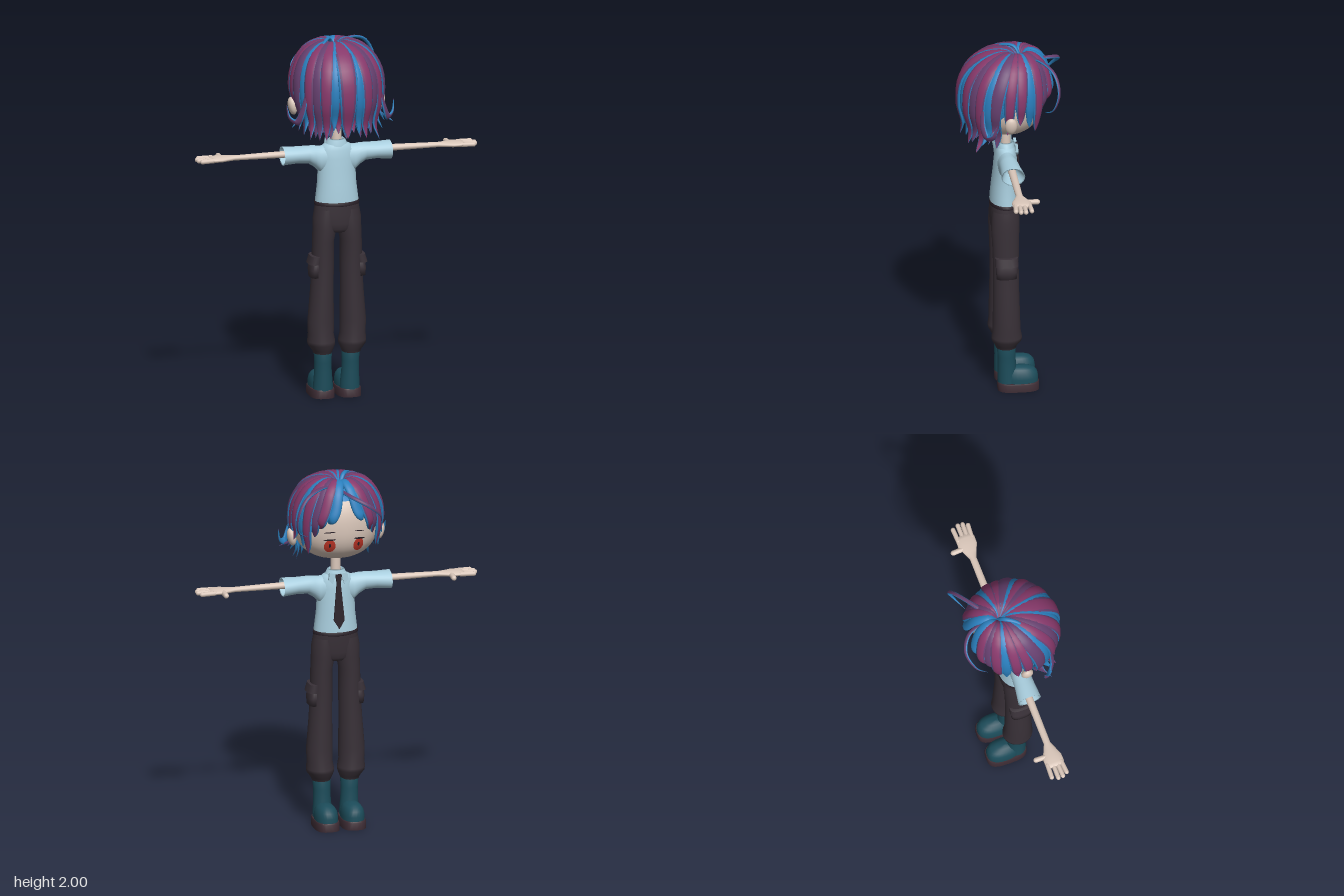
import * as THREE from 'three';
import { toCreasedNormals } from 'three/addons/utils/BufferGeometryUtils.js';

const mat = (name, color) => {
  const m = new THREE.MeshStandardMaterial({ color, side: THREE.DoubleSide });
  m.name = name;
  return m;
};

// Skin of quads over rings of points
function skin(rings, groupOf) {
  const n = rings[0].length, pos = rings.flat().flatMap(p => [p.x, p.y, p.z]);
  const idx = [[], [], []];
  for (let i = 0; i < rings.length - 1; i++) for (let j = 0; j < n; j++) {
    const k = (j + 1) % n, a = i * n + j, b = i * n + k, c = a + n, d = b + n;
    idx[groupOf ? groupOf(j) : 0].push(a, b, c, b, d, c);
  }
  const g = new THREE.BufferGeometry();
  g.setAttribute('position', new THREE.Float32BufferAttribute(pos, 3));
  g.setIndex(idx.flat());
  if (groupOf) idx.reduce((start, list, i) => (g.addGroup(start, list.length, i), start + list.length), 0);
  g.computeVertexNormals();
  return g;
}

// Elliptical sections [y, cx, cz, rx, rz], lowest first; power < 1 squares them off
function loft(rows, power = 1, n = 28) {
  const s = v => Math.sign(v) * Math.abs(v) ** power;
  return skin(rows.map(([y, cx, cz, rx, rz]) => Array.from({ length: n }, (_, j) => {
    const t = j / n * Math.PI * 2;
    return new THREE.Vector3(cx + rx * s(Math.sin(t)), y, cz + rz * s(Math.cos(t)));
  })));
}
// Same, but laid along x: [x, y, z, ry, rz]
const loftX = rows => loft(rows.map(([x, y, z, ry, rz]) => [x, -y, z, ry, rz])).rotateZ(-Math.PI / 2);

// Head surface
const HY = 1.725, HR = 0.21, HX = 0.235, HZ = 0.2, HC = 0.015;
const headF = t => Math.max(0, 1 - Math.abs(t) ** 2.4) ** (1 / 2.4);
const faceZ = (x, y) => HC - HZ * Math.sqrt(Math.max(0, headF((y - HY) / HR) ** 2 - (x / HX) ** 2));

export function createModel() {
  const M = {
    skin: mat('skin', 0xdac7ba), shirt: mat('shirt blue', 0xa8cddd), pants: mat('charcoal cloth', 0x383037),
    boot: mat('boot teal', 0x1c4c5a), sole: mat('sole brown', 0x3c2b33), red: mat('eye red', 0xcc3a2a),
    dark: mat('dark trim', 0x2a2129), magenta: mat('hair magenta', 0x86386a), plum: mat('hair plum', 0x66406f),
    blue: mat('hair blue', 0x2a7fbd),
  };
  const model = new THREE.Group();
  const add = (parent, name, geo, m) => {
    const mesh = new THREE.Mesh(geo, m);
    mesh.name = name;
    parent.add(mesh);
    return mesh;
  };
  const capsule = (parent, name, a, b, r, m) => {
    const A = new THREE.Vector3(...a), B = new THREE.Vector3(...b), d = B.clone().sub(A);
    const c = add(parent, name, new THREE.CapsuleGeometry(r, d.length(), 5, 12), m);
    c.position.copy(A).add(B).multiplyScalar(0.5);
    c.quaternion.setFromUnitVectors(new THREE.Vector3(0, 1, 0), d.normalize());
  };

  // Head and neck
  const headRows = Array.from({ length: 25 }, (_, i) => {
    const t = -Math.cos(i / 24 * Math.PI), f = headF(t);
    return [HY + HR * t, 0, HC, HX * f, HZ * f];
  });
  add(model, 'head', loft(headRows, 1, 40), M.skin);
  add(model, 'neck', new THREE.CylinderGeometry(0.026, 0.029, 0.16, 20).translate(0, 1.47, 0.02), M.skin);

  // Face details: discs pressed onto the head surface
  const decal = (name, x, y, rx, ry, lift, m, tilt = 0) => {
    const g = new THREE.RingGeometry(0, 1, 24, 4).scale(rx, ry, 1).rotateZ(tilt).rotateY(Math.PI).translate(x, y, 0);
    const p = g.attributes.position;
    for (let i = 0; i < p.count; i++) p.setZ(i, faceZ(p.getX(i), p.getY(i)) - lift);
    g.computeVertexNormals();
    add(model, name, g, m);
  };
  for (const s of [1, -1]) {
    decal('iris', s * 0.08, 1.626, 0.03, 0.039, 0.003, M.red);
    decal('pupil', s * 0.08, 1.63, 0.006, 0.012, 0.005, M.dark);
    decal('lash', s * 0.083, 1.665, 0.033, 0.005, 0.006, M.dark, s * 0.12);
    decal('brow', s * 0.084, 1.708, 0.03, 0.003, 0.004, M.dark, s * 0.1);
    const ear = add(model, 'ear', new THREE.SphereGeometry(1, 16, 12).scale(0.024, 0.05, 0.034), M.skin);
    ear.position.set(s * 0.247, 1.64, 0.02);
    ear.rotation.z = -s * 0.2;
  }

  // Hair strand: flattened tapering sweep with a core, flanks and blue edges and underside
  const berry = [M.magenta, M.plum, M.blue], dusk = [M.plum, M.plum, M.blue], sky = [M.blue, M.blue, M.blue];
  const centre = new THREE.Vector3(0, 1.72, 0.01);
  const strand = (name, pts, w, th, mats, root = 0.12) => {
    const curve = new THREE.CatmullRomCurve3(pts.map(p => new THREE.Vector3(...p)));
    const rings = [], steps = 22, n = 20;
    for (let i = 0; i <= steps; i++) {
      const t = i / steps, c = curve.getPoint(t), T = curve.getTangent(t);
      const N = c.clone().sub(centre);
      N.addScaledVector(T, -N.dot(T)).normalize();
      const S = N.clone().cross(T), k = Math.sin(Math.PI * (root + (1 - root) * t)) ** 0.75;
      rings.push(Array.from({ length: n }, (_, j) => {
        const q = j / n * Math.PI * 2;
        return c.clone().addScaledVector(S, Math.cos(q) * w * k).addScaledVector(N, Math.sin(q) * th * k);
      }));
    }
    const band = j => Math.sin((j + 0.5) / n * Math.PI * 2);
    add(model, name, skin(rings, j => (band(j) > 0.85 ? 0 : band(j) > 0.5 ? 1 : 2)), mats);
  };
  // Path over the hair shell from azimuth a (0 is the back of the head), drifting by sweep
  const path = (a, end, bend, flick, size = 1, sweep = 0) => {
    const at = (r, y, k) => [0.248 * Math.sin(a + sweep * k) * r * size, y,
      0.02 * r - 0.06 * (1 - r) + 0.253 * Math.cos(a + sweep * k) * r * size];
    const low = k => 1.81 + (end - 1.81) * k;
    return [at(0.03, 1.935, 0), at(0.28, 1.972, 0), at(0.7, 1.933, 0.1), at(0.95, 1.835, 0.3),
      at(1.01, low(0.4), 0.55), at(bend, low(0.78), 0.8), at(flick, end, 1)];
  };

  const cap = new THREE.SphereGeometry(1, 32, 14, 0, Math.PI * 2, 0, Math.PI * 0.52);
  add(model, 'hairCap', cap.rotateX(0.75).scale(0.238, 0.22, 0.232).translate(0, 1.735, 0.022), M.blue);

  // Mirrored locks: [azimuth, end height, bend, flick, size, sweep, half width, colours]
  const locks = [
    [0.27, 1.53, 0.94, 0.97, 0.975, 0.04, 0.031, sky], [0.48, 1.49, 0.93, 0.98, 1, 0, 0.04, berry],
    [0.72, 1.5, 0.94, 1.0, 0.985, -0.08, 0.037, dusk], [0.93, 1.48, 0.94, 1.06, 1, -0.1, 0.036, berry],
    [1.15, 1.52, 0.95, 1.08, 0.975, -0.16, 0.034, sky], [1.36, 1.54, 0.95, 1.06, 1, -0.2, 0.039, dusk],
    [1.6, 1.6, 0.97, 1.03, 0.985, -0.1, 0.036, berry], [1.83, 1.64, 0.98, 1.02, 1, -0.06, 0.036, berry],
    [2.05, 1.6, 0.96, 0.96, 0.975, -0.04, 0.034, sky], [2.27, 1.59, 0.95, 0.92, 1, -0.1, 0.037, berry],
    [2.5, 1.68, 0.95, 0.93, 0.98, -0.16, 0.034, dusk], [2.71, 1.72, 0.95, 0.92, 1, -0.24, 0.035, berry],
    [2.95, 1.78, 0.96, 0.94, 0.98, -0.26, 0.03, sky],
  ];
  for (const s of [1, -1]) {
    locks.forEach(([a, end, bend, flick, size, sweep, w, mats], i) =>
      strand('lock', path(s * a, end + s * (i % 3 - 1) * 0.012, bend, flick, size, s * sweep), w, 0.016, mats));
    // Curled-up wisps beside the nape
    strand('wisp', [[s * 0.2, 1.76, 0.17], [s * 0.232, 1.63, 0.17], [s * 0.255, 1.58, 0.15], [s * 0.288, 1.6, 0.12],
      [s * 0.3, 1.67, 0.1]], 0.02, 0.01, dusk);
    strand('wisp', path(s * 1.2, 1.55, 0.95, 1.24), 0.022, 0.011, dusk);
  }
  strand('backLock', path(0, 1.5, 0.94, 0.98, 1.01), 0.055, 0.016, berry);
  // Inner layer at the nape
  for (let i = -6; i <= 6; i++) {
    strand('underLock', path(i * 0.2, 1.49 + (i % 2 ? 0.03 : 0), 0.87, 0.92, 0.95), 0.042, 0.012, i % 2 ? berry : dusk);
  }
  // Loose curls
  strand('looseCurl', [[0.02, 1.93, -0.08], [0.11, 1.958, -0.15], [0.22, 1.925, -0.22], [0.275, 1.83, -0.24],
    [0.265, 1.73, -0.21], [0.2, 1.69, -0.17]], 0.011, 0.008, dusk, 0.3);
  strand('looseCurl', [[0.02, 1.93, -0.1], [-0.02, 1.92, -0.23], [-0.1, 1.88, -0.28], [-0.18, 1.81, -0.25],
    [-0.2, 1.74, -0.19]], 0.012, 0.008, dusk, 0.3);
  strand('looseCurl', [[0, 1.94, -0.06], [-0.03, 1.99, -0.03], [-0.07, 1.985, 0.03], [-0.12, 1.945, 0.08]], 0.012, 0.008, sky, 0.3);

  // Shirt body
  add(model, 'shirtBody', loft([[1.1, 0, 0.025, 0.121, 0.083], [1.14, 0, 0.025, 0.116, 0.08], [1.2, 0, 0.024, 0.109, 0.075],
    [1.28, 0, 0.022, 0.105, 0.067], [1.34, 0, 0.021, 0.108, 0.063], [1.385, 0, 0.02, 0.1, 0.056],
    [1.412, 0, 0.02, 0.075, 0.047], [1.425, 0, 0.02, 0.04, 0.036]]), M.shirt);
  add(model, 'collar', loft([[1.405, 0, 0.02, 0.065, 0.05], [1.44, 0, 0.02, 0.048, 0.043], [1.445, 0, 0.02, 0.042, 0.037],
    [1.42, 0, 0.02, 0.038, 0.034]]), M.shirt);

  // Thin plates on the chest, following its slope
  const plate = (name, pts, z, depth, m) => {
    const g = new THREE.ExtrudeGeometry(new THREE.Shape(pts.map(p => new THREE.Vector2(...p))), { depth, bevelEnabled: false });
    const p = g.attributes.position;
    for (let i = 0; i < p.count; i++) p.setZ(i, p.getZ(i) + z - (1.4 - p.getY(i)) * 0.055);
    g.computeVertexNormals();
    add(model, name, g, m);
  };
  plate('tieKnot', [[-0.018, 1.425], [0.018, 1.425], [0.011, 1.38], [-0.011, 1.38]], -0.05, 0.012, M.dark);
  plate('tie', [[-0.01, 1.385], [0.01, 1.385], [0.03, 1.17], [0, 1.12], [-0.03, 1.17]], -0.048, 0.009, M.dark);
  for (const s of [1, -1]) {
    plate('collarFlap', [[s * 0.014, 1.428], [s * 0.05, 1.435], [s * 0.055, 1.395], [s * 0.032, 1.372]], -0.044, 0.015, M.shirt);
  }

  // Waist and hips
  add(model, 'belt', loft([[1.078, 0, 0.026, 0.121, 0.08], [1.082, 0, 0.026, 0.125, 0.084], [1.1, 0, 0.026, 0.124, 0.083],
    [1.104, 0, 0.026, 0.112, 0.076], [1.104, 0, 0.026, 0, 0]]), M.dark);
  add(model, 'hips', loft([[0.925, 0, 0.03, 0.02, 0.03], [0.932, 0, 0.03, 0.07, 0.06], [0.95, 0, 0.03, 0.112, 0.073],
    [0.98, 0, 0.03, 0.124, 0.077], [1.03, 0, 0.028, 0.129, 0.08], [1.085, 0, 0.026, 0.12, 0.08]], 0.9), M.pants);

  // Limbs, mirrored
  for (const s of [1, -1]) {
    const side = new THREE.Group();
    side.name = s > 0 ? 'leftLimbs' : 'rightLimbs';
    side.scale.x = s;
    model.add(side);

    add(side, 'sleeve', loftX([[0.05, 1.335, 0.021, 0.075, 0.05], [0.095, 1.333, 0.021, 0.074, 0.051], [0.125, 1.35, 0.02, 0.06, 0.052],
      [0.16, 1.362, 0.019, 0.049, 0.053], [0.22, 1.363, 0.017, 0.046, 0.056], [0.302, 1.361, 0.014, 0.051, 0.065],
      [0.3, 1.361, 0.014, 0.045, 0.059], [0.2, 1.363, 0.016, 0.03, 0.03]]), M.shirt);
    add(side, 'arm', loftX([[0.18, 1.37, 0.014, 0.02, 0.022], [0.4, 1.369, 0.014, 0.017, 0.02], [0.57, 1.368, 0.014, 0.014, 0.019],
      [0.61, 1.368, 0.013, 0.015, 0.036], [0.65, 1.368, 0.012, 0.017, 0.053], [0.69, 1.368, 0.013, 0.016, 0.053],
      [0.71, 1.368, 0.013, 0.012, 0.048], [0.715, 1.368, 0.013, 0, 0]]), M.skin);
    [[-0.031, 0.762], [0.002, 0.776], [0.029, 0.774], [0.055, 0.76]].forEach(([z, x]) =>
      capsule(side, 'finger', [0.69, 1.368, z * 0.9], [x, 1.367, z], 0.0128, M.skin));
    capsule(side, 'thumb', [0.64, 1.366, -0.02], [0.638, 1.364, -0.076], 0.0145, M.skin);

    add(side, 'trouserLeg', loft([[0.25, 0.08, 0.027, 0.05, 0.054], [0.265, 0.08, 0.027, 0.056, 0.06], [0.3, 0.086, 0.024, 0.075, 0.082],
      [0.318, 0.087, 0.024, 0.076, 0.083], [0.36, 0.089, 0.025, 0.07, 0.076], [0.43, 0.09, 0.026, 0.072, 0.075],
      [0.6, 0.084, 0.027, 0.064, 0.071], [0.75, 0.079, 0.028, 0.06, 0.07], [0.88, 0.078, 0.029, 0.059, 0.074],
      [0.95, 0.069, 0.03, 0.065, 0.077], [1.01, 0.066, 0.028, 0.067, 0.076], [1.06, 0.06, 0.027, 0.064, 0.072]]), M.pants);
    add(side, 'pocket', loft([[0.68, 0.126, 0.029, 0, 0], [0.68, 0.126, 0.029, 0.028, 0.056], [0.72, 0.128, 0.029, 0.03, 0.058],
      [0.79, 0.12, 0.029, 0.028, 0.056], [0.79, 0.12, 0.029, 0, 0]], 0.75), M.pants);
    add(side, 'pocketFlap', toCreasedNormals(loft([[0.755, 0.131, 0.029, 0, 0], [0.755, 0.131, 0.029, 0.034, 0.064],
      [0.8, 0.122, 0.029, 0.03, 0.062], [0.805, 0.12, 0.029, 0, 0]], 0.75), 0.7), M.pants);

    // Boot
    add(side, 'bootShaft', loft([[0.03, 0.075, 0.018, 0.055, 0.054], [0.08, 0.075, 0.019, 0.053, 0.054], [0.14, 0.076, 0.022, 0.048, 0.05],
      [0.2, 0.077, 0.024, 0.047, 0.049], [0.262, 0.078, 0.026, 0.05, 0.051], [0.262, 0.078, 0.026, 0.04, 0.04]]), M.boot);
    add(side, 'bootToe', loft([[0.035, 0.074, -0.055, 0.061, 0.093], [0.07, 0.074, -0.055, 0.062, 0.094], [0.1, 0.074, -0.055, 0.056, 0.088],
      [0.12, 0.074, -0.053, 0.043, 0.072], [0.131, 0.074, -0.048, 0.024, 0.046], [0.134, 0.074, -0.045, 0, 0]], 0.85), M.boot);
    add(side, 'sole', toCreasedNormals(loft([[0, 0.074, -0.04, 0, 0], [0, 0.074, -0.04, 0.067, 0.113], [0.04, 0.074, -0.04, 0.067, 0.114],
      [0.047, 0.074, -0.04, 0.064, 0.11], [0.047, 0.074, -0.04, 0, 0]], 0.65), 0.7), M.sole);
  }
  return model;
}
